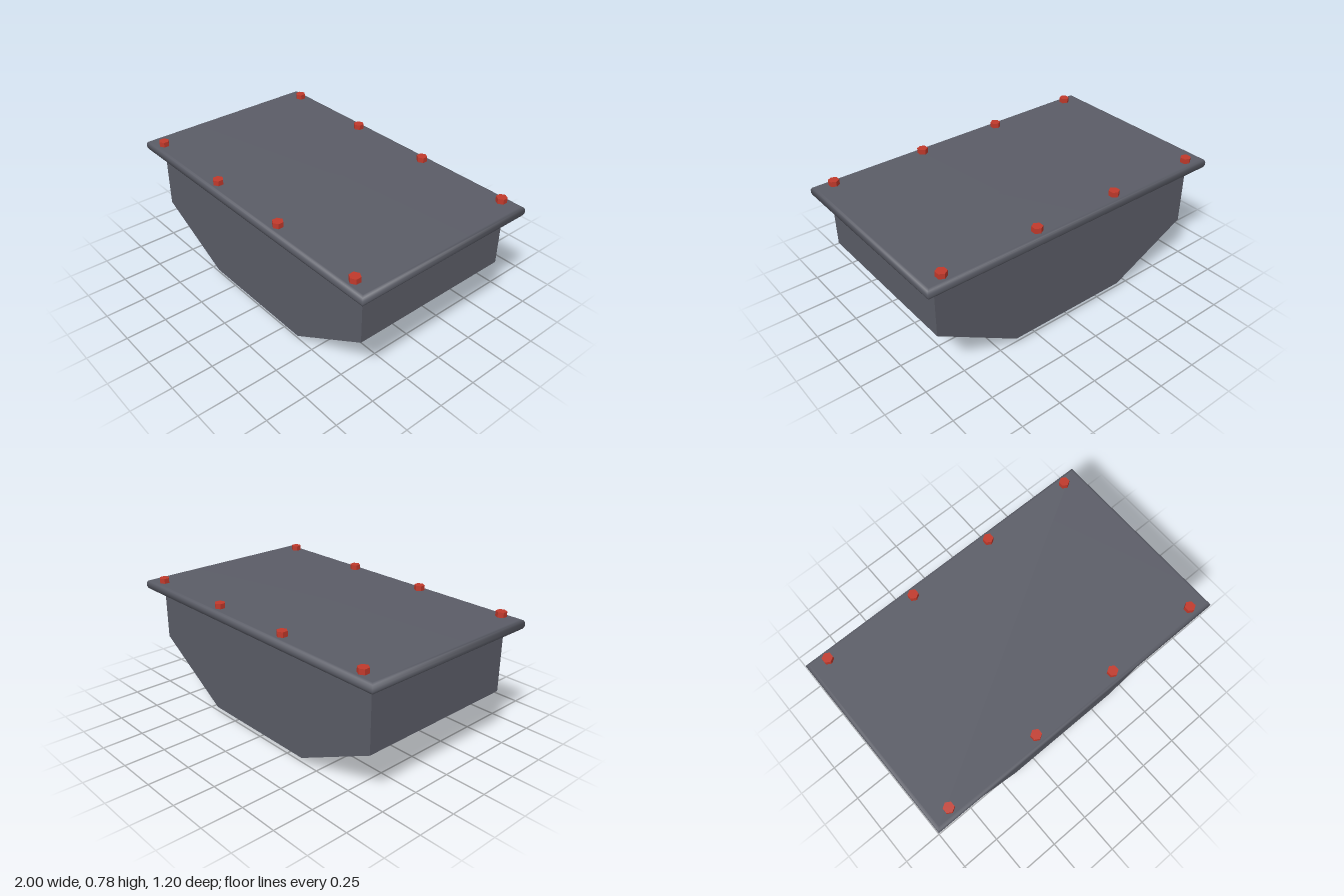
import * as THREE from 'three';
import { mergeVertices, toCreasedNormals } from 'three/addons/utils/BufferGeometryUtils.js';

export function createModel() {
  const model = new THREE.Group();
  model.name = 'oilPan';
  const steel = new THREE.MeshStandardMaterial({ color: 0x5a5c66 });
  steel.name = 'grey steel';
  const red = new THREE.MeshStandardMaterial({ color: 0xc0392b });
  red.name = 'red bolt';

  function add(name, geometry, material, x = 0, y = 0, z = 0) {
    const mesh = new THREE.Mesh(geometry, material);
    mesh.name = name;
    mesh.position.set(x, y, z);
    model.add(mesh);
  }

  // Sump body: lopsided tapered profile run along z, with soft edges along the floor
  const profile = [[-0.92, 0.7], [-0.92, 0.3], [-0.4, 0.045], [0.4, 0.045], [0.917, 0.363], [0.917, 0.7]];
  const body = new THREE.ExtrudeGeometry(
    new THREE.Shape(profile.map(([x, y]) => new THREE.Vector2(x, y))),
    { depth: 1.04, bevelEnabled: false });
  body.translate(0, 0, -0.52);
  add('sumpBody', toCreasedNormals(body, 0.7), steel);

  // Flange: flat plate with a bevelled rim, smooth shaded throughout
  const bevel = 0.02, w = 1 - bevel, d = 0.6 - bevel;
  const plate = new THREE.Shape([[-w, -d], [w, -d], [w, d], [-w, d]].map(([x, y]) => new THREE.Vector2(x, y)));
  let flange = new THREE.ExtrudeGeometry(plate, {
    depth: 0.06 - 2 * bevel, bevelEnabled: true, bevelSize: bevel, bevelThickness: bevel, bevelSegments: 2,
  });
  flange.rotateX(-Math.PI / 2);
  flange.deleteAttribute('normal');
  flange.deleteAttribute('uv');
  flange = mergeVertices(flange);
  flange.computeVertexNormals();
  add('flange', flange, steel, 0, 0.685 + bevel, 0);

  // Hexagonal bolt heads along both long edges
  const hex = (r, h) => toCreasedNormals(new THREE.CylinderGeometry(r, r, h, 6), 0.5);
  const boltHead = hex(0.032, 0.04);
  for (const z of [-0.54, 0.54]) {
    for (const x of [-0.88, -0.28, 0.28, 0.88]) add('flangeBolt', boltHead, red, x, 0.756, z);
  }

  // Drain plug under the floor
  add('drainPlug', hex(0.07, 0.06), red, 0, 0.03, 0);
  return model;
}
